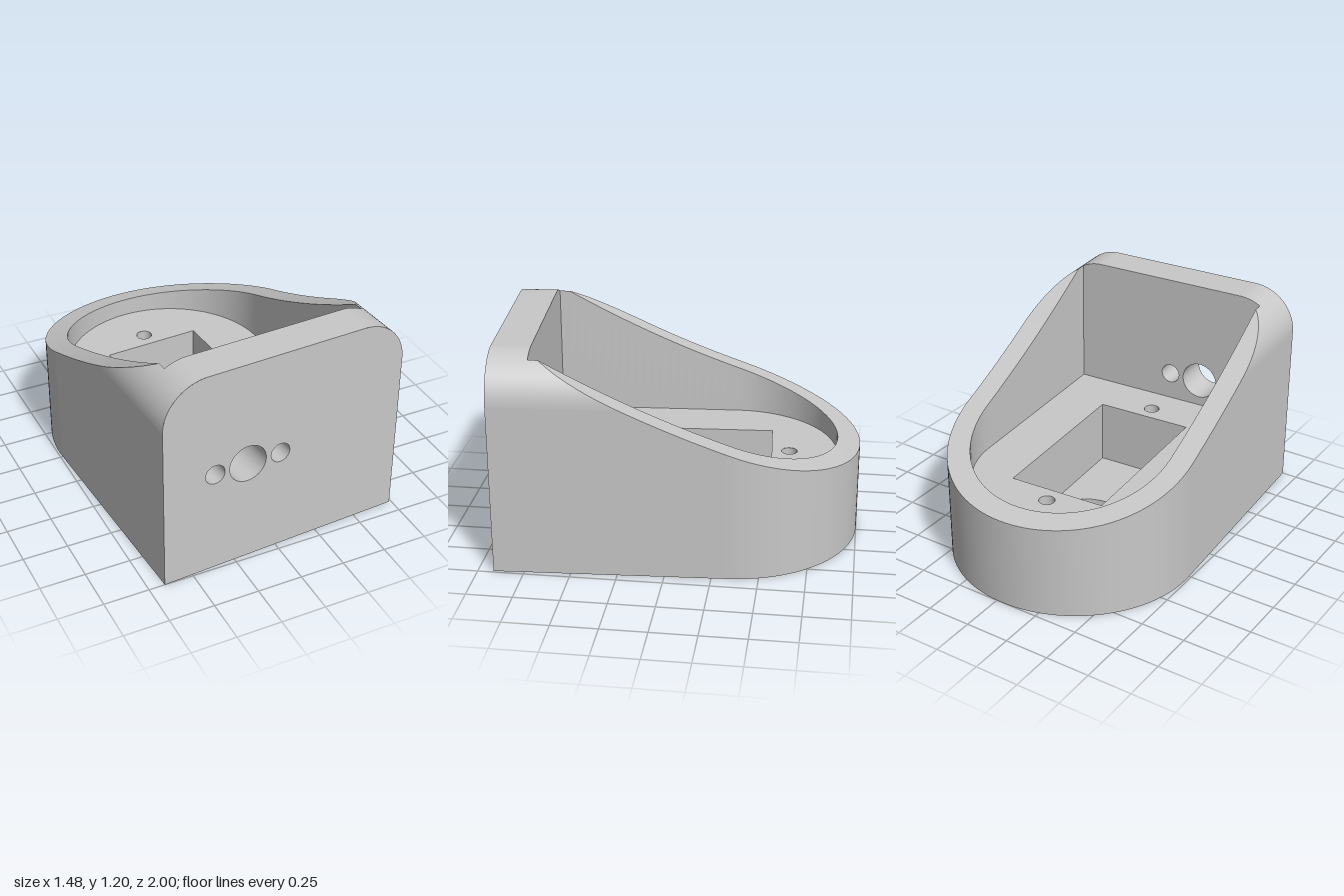
import * as THREE from 'three';
import { toCreasedNormals } from 'three/addons/utils/BufferGeometryUtils.js';

// Main dimensions, measured from the centre of the rounded back
const OUT = 0.701, IN = 0.576, FRONT = 1.26, PANEL = 1.05;
const TOP = 1.2, R = 0.25, CX = OUT - R, CY = TOP - R;
const FLOOR = 0.44, BASE = 0.07;
const POCKET = { hw: 0.279, z0: -0.211, z1: 0.767 };
const BORE = { x: 0, y: 0.066, r: 0.277 };
const SCREWS = [-0.31, 0.866].map((y) => ({ x: 0, y, r: 0.044 }));
const PORTS = [[-0.407, 0.056], [-0.217, 0.107], [-0.025, 0.056]].map(([x, r]) => ({ x, y: 0.6, r }));

// Sloping rim height A z^2 + B z + C, and the z at which it reaches a given height
const A = 0.101, B = 0.3542, C = 0.7134;
const slope = (z) => (A * z + B) * z + C;
const slopeAt = (y) => (-B + Math.sqrt(B * B - 4 * A * (C - y))) / (2 * A);

// Rounded shoulder of the front profile from x = hw inwards, as [x, y] pairs
function crestArc(hw, n = 16) {
  const a0 = Math.acos(Math.min(1, (hw - CX) / R));
  return Array.from({ length: n + 1 }, (_, i) => {
    const a = a0 + (Math.PI / 2 - a0) * i / n;
    return [CX + R * Math.cos(a), CY + R * Math.sin(a)];
  });
}
// Whole crest of the front panel from +hw to -hw
function crest(hw) {
  const arc = crestArc(hw);
  return [...arc, ...arc.map(([x, y]) => [-x, y]).reverse()];
}

// Horseshoe path: +x side from zFront, around the back, to the -x side
function horseshoe(r, zFront) {
  const zs = slopeAt(crestArc(r)[0][1]);
  const stops = [[r, zFront], [r, zs]];
  for (let i = 1; i < 20; i++) stops.push([r, zs * (1 - i / 20)]);
  for (let i = 0; i <= 32; i++) {
    const a = Math.PI / 2 * i / 32;
    stops.push([r * Math.cos(a), -r * Math.sin(a)]);
  }
  return [...stops, ...stops.slice(0, -1).map(([x, z]) => [-x, z]).reverse()];
}

// Surface through rows of equally many points
function loft(rows) {
  const n = rows[0].length, index = [];
  for (let j = 0; j < rows.length - 1; j++) {
    for (let i = 0; i < n - 1; i++) {
      const a = j * n + i, b = a + n;
      index.push(a, b, a + 1, b, b + 1, a + 1);
    }
  }
  const g = new THREE.BufferGeometry();
  g.setAttribute('position', new THREE.Float32BufferAttribute(rows.flat(2), 3));
  g.setIndex(index);
  return toCreasedNormals(g, 0.5);
}

// Flat face with round holes
function plate(points, holes) {
  const shape = new THREE.Shape(points.map(([x, y]) => new THREE.Vector2(x, y)));
  for (const h of holes) shape.holes.push(new THREE.Path().absarc(h.x, h.y, h.r, 0, Math.PI * 2, true));
  return shape;
}
// Horizontal face shape; outline and holes are given as x, z
const levelPlate = (points, holes) =>
  plate(points.map(([x, z]) => [x, -z]), holes.map((h) => ({ ...h, y: -h.y })));
const flat = (shape) => new THREE.ShapeGeometry(shape, 32);

export function createModel() {
  const model = new THREE.Group();
  const body = new THREE.Group();
  body.name = 'housing';
  body.position.set(-0.038, 0, -0.3);
  body.rotation.y = 0.0606;
  model.add(body);

  const grey = new THREE.MeshStandardMaterial({ color: 0xc8c8c8, side: THREE.DoubleSide });
  grey.name = 'grey plastic';
  const add = (name, geometry) => {
    const mesh = new THREE.Mesh(geometry, grey);
    mesh.name = name;
    body.add(mesh);
    return mesh;
  };
  const level = (name, shape, y) =>
    add(name, flat(shape).rotateX(-Math.PI / 2).translate(0, y, 0));

  // Upright walls
  const wall = (name, r, zFront, y0) => {
    const limit = crestArc(r)[0][1];
    const path = horseshoe(r, zFront);
    add(name, loft([
      path.map(([x, z]) => [x, y0, z]),
      path.map(([x, z]) => [x, Math.min(slope(z), limit), z]),
    ]));
  };
  wall('outerWall', OUT, FRONT, 0);
  wall('innerWall', IN, PANEL, FLOOR);

  // Sloping rim around the back
  const backRim = [];
  for (let k = 0; k <= 4; k++) {
    const r = IN + (OUT - IN) * k / 4;
    backRim.push(Array.from({ length: 65 }, (_, i) => {
      const a = Math.PI * i / 64, z = -r * Math.sin(a);
      return [r * Math.cos(a), slope(z), z];
    }));
  }
  add('backRim', loft(backRim));

  // Side rims: sloping part, then rounded shoulder running to the front
  const a1 = Math.acos((IN - CX) / R);
  const edge = Array.from({ length: 13 }, (_, i) => {
    const a = a1 * i / 12;
    return [CX + R * Math.cos(a), CY + R * Math.sin(a)];
  });
  for (const s of [1, -1]) {
    add('sideRim', loft(edge.map(([x, y]) => Array.from({ length: 21 }, (_, i) => {
      const z = slopeAt(y) * i / 20;
      return [s * x, slope(z), z];
    }))));
    add('shoulder', loft(edge.map(([x, y]) => [[s * x, y, slopeAt(y)], [s * x, y, FRONT]])));
  }

  // Front panel: crest, outer and inner faces, drilled ports
  add('panelTop', loft(crest(IN).map(([x, y]) => [[x, y, PANEL], [x, y, FRONT]])));
  const panelFace = (name, hw, y0, z) =>
    add(name, flat(plate([[-hw, y0], [hw, y0], ...crest(hw)], PORTS)).translate(0, 0, z));
  panelFace('panelFront', OUT, 0, FRONT);
  panelFace('panelBack', IN, FLOOR, PANEL);
  for (const p of PORTS) {
    const tube = add('portWall', new THREE.CylinderGeometry(p.r, p.r, FRONT - PANEL, 64, 1, true));
    tube.rotation.x = Math.PI / 2;
    tube.position.set(p.x, p.y, (FRONT + PANEL) / 2);
  }

  // Underside and cavity floor
  level('underside', levelPlate(horseshoe(OUT, FRONT), [BORE]), 0);
  const { hw, z0, z1 } = POCKET;
  const rect = [[-hw, z0], [hw, z0], [hw, z1], [-hw, z1]];
  const floorShape = levelPlate(horseshoe(IN, PANEL), SCREWS);
  floorShape.holes.push(new THREE.Path(rect.map(([x, z]) => new THREE.Vector2(x, -z))));
  level('cavityFloor', floorShape, FLOOR);

  // Rectangular pocket with a round bore through the base
  const loop = [...rect, rect[0]];
  add('pocketWall', loft([FLOOR, BASE].map((y) => loop.map(([x, z]) => [x, y, z]))));
  level('pocketFloor', levelPlate(rect, [BORE]), BASE);
  add('boreWall', new THREE.CylinderGeometry(BORE.r, BORE.r, BASE, 64, 1, true))
    .position.set(BORE.x, BASE / 2, BORE.y);

  // Blind screw holes
  const depth = 0.3;
  for (const h of SCREWS) {
    add('screwHoleWall', new THREE.CylinderGeometry(h.r, h.r, depth, 32, 1, true))
      .position.set(h.x, FLOOR - depth / 2, h.y);
    add('screwHoleBottom', new THREE.CircleGeometry(h.r, 32).rotateX(-Math.PI / 2))
      .position.set(h.x, FLOOR - depth, h.y);
  }
  return model;
}
